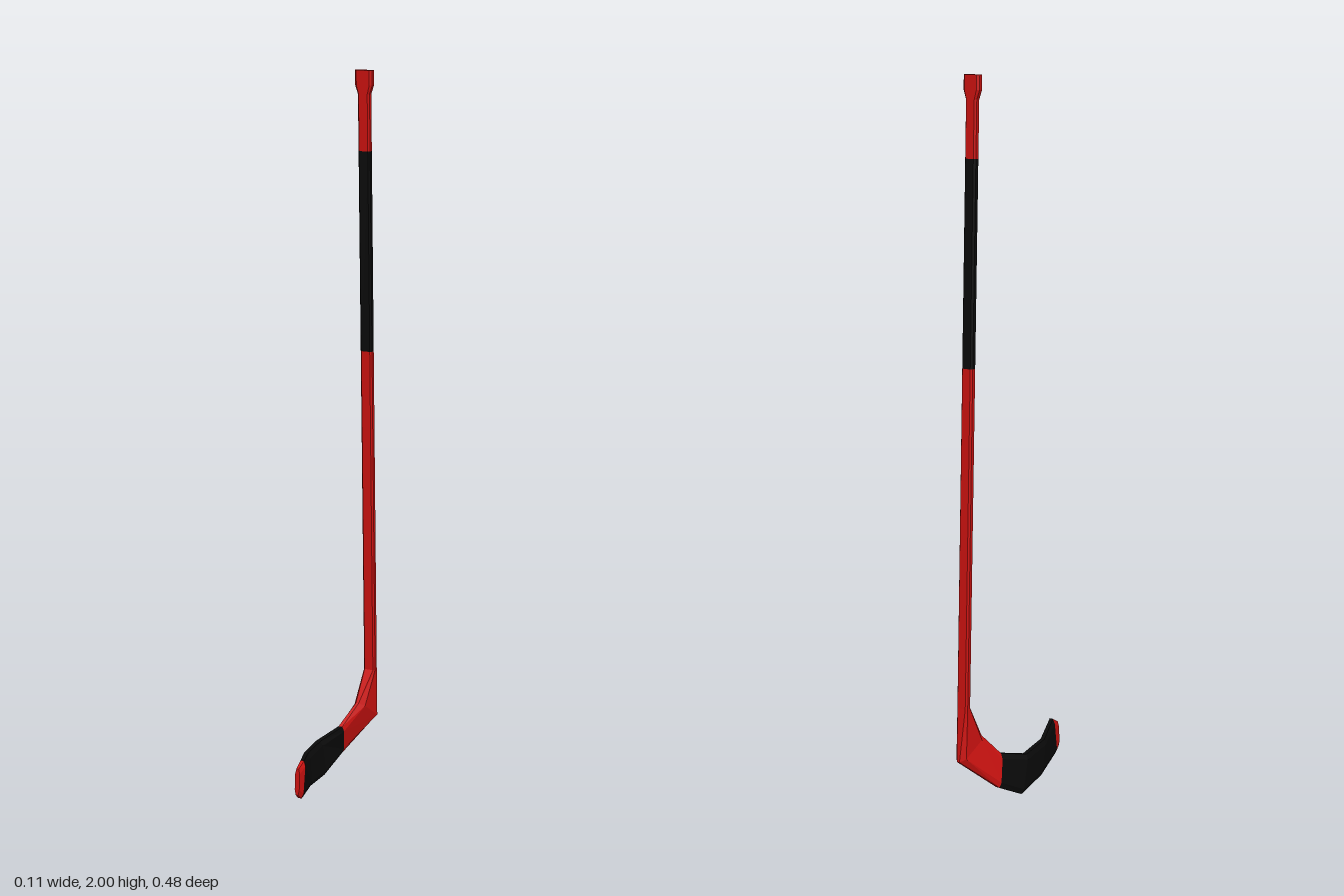
import * as THREE from 'three';

const red = new THREE.MeshStandardMaterial({ color: 0xcc1210, flatShading: true });
const black = new THREE.MeshStandardMaterial({ color: 0x0b0b0b, flatShading: true });

// Bevelled eight-sided section running from an inner edge point to an outer edge point.
// half: half width along x; tip: share of the width left at the bevelled edges.
function section([inner, outer, half, tip = 0.5]) {
  const a = new THREE.Vector3(...inner), b = new THREE.Vector3(...outer);
  const bevel = Math.min(0.25, 0.015 / a.distanceTo(b));
  return [
    [1, bevel], [1, 1 - bevel], [tip, 1], [-tip, 1],
    [-1, 1 - bevel], [-1, bevel], [-tip, 0], [tip, 0],
  ].map(([w, t]) => {
    const p = a.clone().lerp(b, t);
    p.x += w * half;
    return p;
  });
}

// Skin a run of sections, closing the start or the end where it is exposed
function loft(name, material, rows, capStart = false, capEnd = false) {
  const rings = rows.map(section);
  const n = rings[0].length;
  const index = [];
  for (let r = 0; r < rings.length - 1; r++) {
    for (let i = 0; i < n; i++) {
      const a = r * n + i, b = r * n + (i + 1) % n;
      index.push(a, a + n, b, b, a + n, b + n);
    }
  }
  const last = (rings.length - 1) * n;
  for (let i = 1; i < n - 1; i++) {
    if (capStart) index.push(0, i, i + 1);
    if (capEnd) index.push(last, last + i + 1, last + i);
  }
  let geometry = new THREE.BufferGeometry().setFromPoints(rings.flat());
  geometry.setIndex(index);
  geometry = geometry.toNonIndexed();
  geometry.computeVertexNormals();
  const mesh = new THREE.Mesh(geometry, material);
  mesh.name = name;
  return mesh;
}

// Section of the leaning shaft at height y
function shaft(y, half = 0.0175) {
  const z = -0.164 - (2 - y) * 0.0308;
  return [[0.028, y, z + 0.011], [0.028, y, z - 0.011], half, 0.75];
}

export function createModel() {
  const group = new THREE.Group();
  group.name = 'hockeyStick';

  // Sections shared by neighbouring parts
  const throat = [[-0.015, 0.13, -0.11], [-0.029, 0.04, -0.137], 0.012];
  const toe = [[0.028, 0.14, 0.207], [0.028, 0.035, 0.222], 0.011];

  group.add(
    // Shaft from the butt end down to the heel
    loft('buttEnd', red, [shaft(2, 0.026), shaft(1.96, 0.026), shaft(1.935), shaft(1.78)], true),
    loft('gripTape', black, [shaft(1.78), shaft(1.22)]),
    loft('lowerShaft', red, [shaft(1.22), shaft(0.28)]),
    loft('heel', red, [
      shaft(0.28),
      [[0.014, 0.19, -0.16], [0.03, 0.13, -0.241], 0.017, 0.25],
      throat,
    ]),
    // Curved blade
    loft('bladeTape', black, [
      throat,
      [[-0.042, 0.11, -0.025], [-0.042, 0, -0.05], 0.0125],
      [[-0.019, 0.117, 0.095], [-0.019, 0.015, 0.08], 0.012],
      toe,
    ]),
    loft('bladeToe', red, [
      toe,
      [[0.028, 0.125, 0.235], [0.028, 0.05, 0.24], 0.007],
    ], false, true),
  );
  return group;
}
